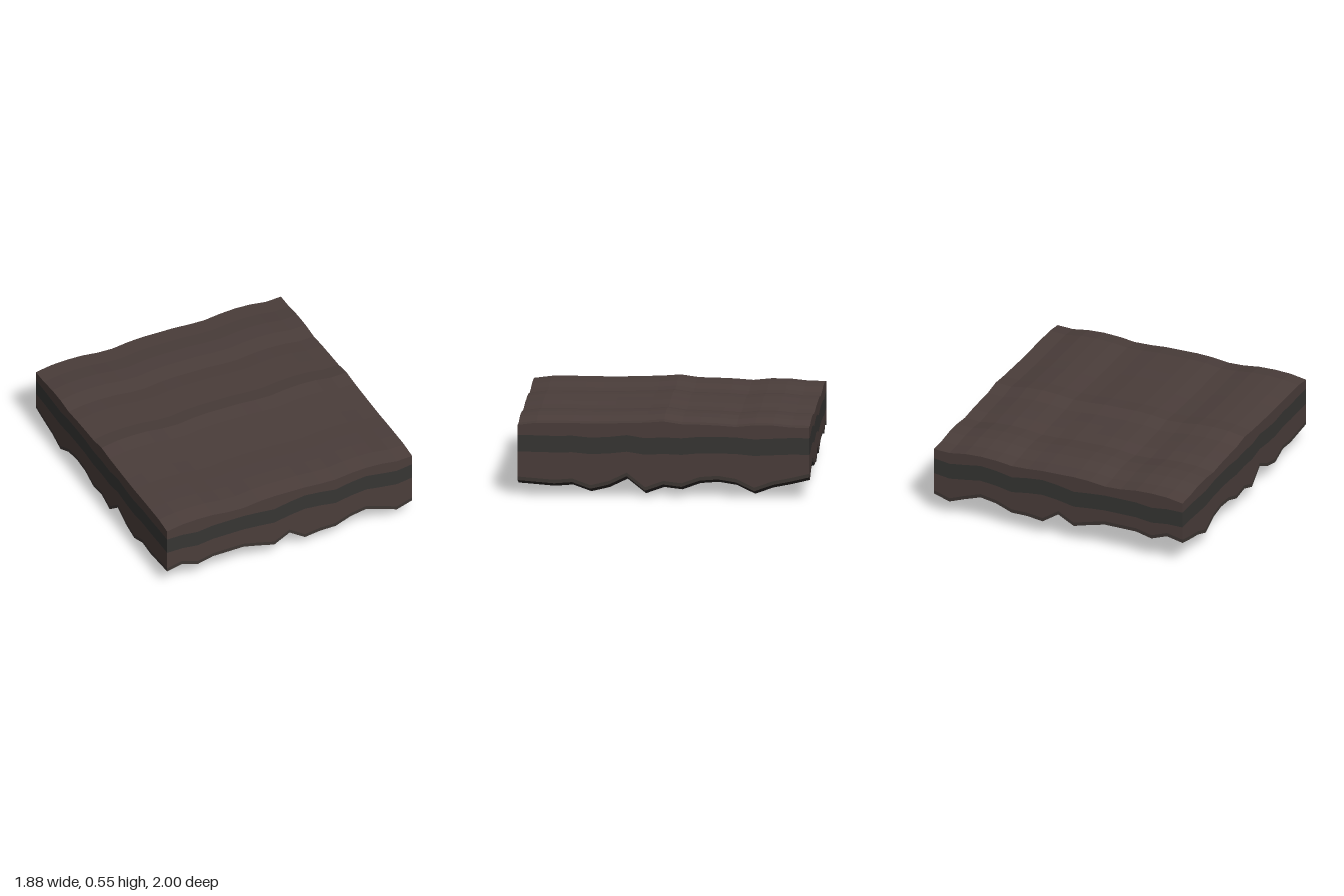
import * as THREE from 'three';
import { mergeGeometries } from 'three/addons/utils/BufferGeometryUtils.js';

const W = 1.88, D = 2, N = 16;

// Profiles along x (left column) and z (from -1 to 1); each surface is the sum of two profiles
const topX = [.525, .545, .55, .546, .53, .525, .54, .545, .542, .54, .53, .526, .54, .546, .54, .521, .526];
const topZ = [-.035, -.033, -.02, -.02, -.033, -.024, -.02, -.018, 0, -.01, -.014, -.018, -.02, -.018, -.018, -.019, -.035];
const baseX = [.08, .105, .062, .09, .09, .09, .06, .027, .09, .01, .025, .025, .07, .09, .05, .005, .042];
const baseZ = [.105, .075, .05, .005, .065, .085, .075, .03, .045, 0, .1, .04, .01, .055, .045, .055, .065];
const waveX = [0, 0, -.015, 0, 0, 0, -.01, -.023, 0, .015, .003, -.016, .007, .019, 0, -.017, 0];
const waveZ = [0, 0, -.006, -.012, 0, .003, .002, -.01, -.005, -.012, .008, -.006, -.012, 0, -.003, 0, 0];

const sum = (a, b) => (x, z) =>
  a[Math.round((x / W + 0.5) * N)] + b[Math.round((z / D + 0.5) * N)];
const top = sum(topX, topZ);
const base = sum(baseX, baseZ);
const wave = sum(waveX, waveZ);

const bandTop = (x, z) => 0.42 + wave(x, z);
const bandBottom = (x, z) => 0.305 + wave(x, z);
const footTop = (x, z) => base(x, z) + 0.025;

function mesh(name, geometry, color) {
  geometry.computeVertexNormals();
  const m = new THREE.Mesh(geometry, new THREE.MeshStandardMaterial({ color, flatShading: true }));
  m.name = name;
  return m;
}

// Horizontal height field, facing up (dir 1) or down (dir -1)
function field(height, dir) {
  const g = new THREE.PlaneGeometry(W, D, N, N).rotateX(-dir * Math.PI / 2);
  const p = g.attributes.position;
  for (let i = 0; i < p.count; i++) p.setY(i, height(p.getX(i), p.getZ(i)));
  return g;
}

// One rock layer running around all four sides
function layer(upper, lower) {
  const sides = [0, 1, 2, 3].map((k) => {
    const [len, out] = k % 2 ? [D, W / 2] : [W, D / 2];
    const g = new THREE.PlaneGeometry(len, 1, N, 1).translate(0, 0, out).rotateY(k * Math.PI / 2);
    const p = g.attributes.position;
    for (let i = 0; i < p.count; i++) {
      const edge = p.getY(i) > 0 ? upper : lower;
      p.setY(i, edge(p.getX(i), p.getZ(i)));
    }
    return g;
  });
  return mergeGeometries(sides);
}

export function createModel() {
  const group = new THREE.Group();
  group.name = 'groundSlab';
  const brown = 0x4a3d3a, grey = 0x363533;
  group.add(
    mesh('topSurface', field(top, 1), brown),
    mesh('upperSoilLayer', layer(top, bandTop), brown),
    mesh('darkStoneBand', layer(bandTop, bandBottom), grey),
    mesh('lowerSoilLayer', layer(bandBottom, footTop), brown),
    mesh('footLayer', layer(footTop, base), 0x3d3633),
    mesh('ruggedUnderside', field(base, -1), 0x302b2a),
  );
  return group;
}
